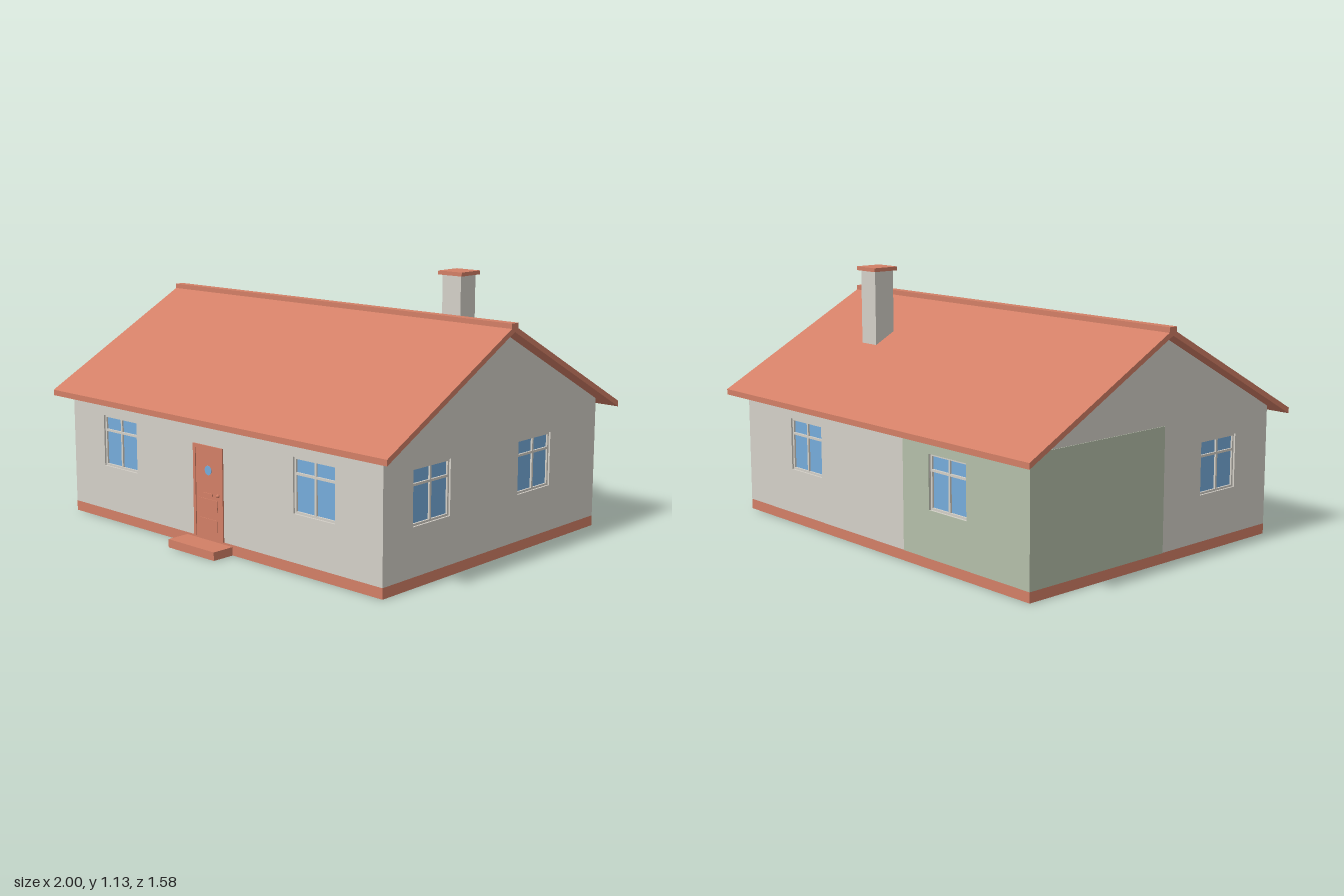
import * as THREE from 'three';

const material = (name, color) => {
  const m = new THREE.MeshStandardMaterial({ color });
  m.name = name;
  return m;
};

export function createModel() {
  const house = new THREE.Group();
  house.name = 'house';
  const plaster = material('warm grey plaster', 0xd4d0c8);
  const terracotta = material('terracotta', 0xd27f66);
  const sage = material('sage green plaster', 0xb4bfa9);
  const glass = material('blue glass', 0x76acdb);

  const add = (parent, name, geometry, mat) => {
    const mesh = new THREE.Mesh(geometry, mat);
    mesh.name = name;
    parent.add(mesh);
    return mesh;
  };
  // box given by its lower and upper bounds on each axis
  const box = (parent, name, [x0, x1], [y0, y1], [z0, z1], mat) => {
    const mesh = add(parent, name, new THREE.BoxGeometry(x1 - x0, y1 - y0, z1 - z0), mat);
    mesh.position.set((x0 + x1) / 2, (y0 + y1) / 2, (z0 + z1) / 2);
    return mesh;
  };
  const shapeOf = (points) => new THREE.Shape(points.map(([x, y]) => new THREE.Vector2(x, y)));

  // wall sheet with window openings, between local z0 and z1
  const sheet = (parent, name, outline, windows, z0, z1, mat) => {
    const shape = shapeOf(outline);
    for (const [c, w, b, t] of windows) {
      shape.holes.push(new THREE.Path([
        new THREE.Vector2(c - w / 2, b), new THREE.Vector2(c - w / 2, t),
        new THREE.Vector2(c + w / 2, t), new THREE.Vector2(c + w / 2, b),
      ]));
    }
    const geometry = new THREE.ExtrudeGeometry(shape, { depth: z1 - z0, bevelEnabled: false });
    add(parent, name, geometry, mat).position.z = z0;
  };

  // recessed pane with a rim, a mullion and a high transom
  const addWindow = (parent, [c, w, b, t], z) => {
    const win = new THREE.Group();
    win.name = 'window';
    parent.add(win);
    const l = c - w / 2, r = c + w / 2, f = 0.009, bar = 0.005;
    const depth = [z - 0.025, z - 0.008];
    box(win, 'pane', [l, r], [b, t], [z - 0.024, z - 0.016], glass);
    box(win, 'rimLeft', [l, l + f], [b, t], depth, plaster);
    box(win, 'rimRight', [r - f, r], [b, t], depth, plaster);
    box(win, 'rimBottom', [l + f, r - f], [b, b + f], depth, plaster);
    box(win, 'rimTop', [l + f, r - f], [t - f, t], depth, plaster);
    box(win, 'mullion', [c - bar, c + bar], [b + f, t - f], depth, plaster);
    box(win, 'transom', [l + f, r - f], [t - 0.073, t - 0.063], depth, plaster);
  };

  // one side of the house, modelled facing +z and then turned
  const addSide = (name, angle, dist, outline, windows) => {
    const side = new THREE.Group();
    side.name = name;
    side.rotation.y = angle;
    house.add(side);
    sheet(side, 'wall', outline, windows, dist - 0.03, dist, plaster);
    windows.forEach((w) => addWindow(side, w, dist));
    return side;
  };

  const base = 0.045, apex = 0.945;
  const eaves = (top) => [[-0.925, base], [0.925, base], [0.925, top], [-0.925, top]];
  const frontTop = 0.567, backTop = 0.572;

  // walls
  addSide('frontWall', 0, 0.68, eaves(frontTop),
    [[-0.605, 0.225, 0.245, 0.475], [0.575, 0.225, 0.245, 0.475]]);
  const backWindows = [[-0.485, 0.225, 0.245, 0.475], [0.465, 0.225, 0.245, 0.475]];
  const back = addSide('backWall', Math.PI, 0.72, eaves(backTop), backWindows);
  addSide('rightGable', Math.PI / 2, 0.93,
    [[-0.68, base], [0.72, base], [0.72, backTop], [0.02, apex], [-0.68, frontTop]],
    [[-0.395, 0.225, 0.245, 0.475], [0.272, 0.225, 0.245, 0.475]]);
  const left = addSide('leftGable', -Math.PI / 2, 0.93,
    [[-0.72, base], [0.68, base], [0.68, frontTop], [-0.02, apex], [-0.72, backTop]],
    [[0.36, 0.22, 0.245, 0.475]]);

  // green corner room cladding
  sheet(back, 'greenCladding', [[0.19, base], [0.933, base], [0.933, 0.57], [0.19, 0.57]],
    [backWindows[1]], 0.72, 0.723, sage);
  sheet(left, 'greenCladding', [[-0.723, base], [0.02, base], [0.02, 0.57], [-0.723, 0.57]],
    [], 0.93, 0.933, sage);

  // plinth and doorstep
  box(house, 'plinth', [-0.93, 0.93], [0, base], [-0.72, 0.68], terracotta);
  box(house, 'doorstep', [-0.17, 0.11], [0, 0.036], [0.67, 0.785], terracotta);

  // roof: bent slab with a ridge cap
  const roofShape = shapeOf([[-0.74, 0.535], [0.02, apex], [0.79, 0.535],
    [0.79, 0.56], [0.02, 0.97], [-0.74, 0.56]]);
  const roofGeometry = new THREE.ExtrudeGeometry(roofShape, { depth: 2, bevelEnabled: false });
  roofGeometry.translate(0, 0, -1).rotateY(Math.PI / 2);
  add(house, 'roof', roofGeometry, terracotta);
  box(house, 'ridgeCap', [-1, 1], [0.95, 0.98], [-0.042, 0], terracotta);

  // chimney
  box(house, 'chimney', [0.43, 0.53], [0.7, 1.11], [-0.37, -0.27], plaster);
  box(house, 'chimneyCap', [0.416, 0.544], [1.11, 1.127], [-0.384, -0.257], terracotta);

  // front door
  const door = new THREE.Group();
  door.name = 'frontDoor';
  house.add(door);
  const jamb = [0.675, 0.686];
  box(door, 'leaf', [-0.108, 0.048], [base, 0.428], [0.67, 0.682], terracotta);
  box(door, 'jambRight', [-0.12, -0.106], [base, 0.442], jamb, terracotta);
  box(door, 'jambLeft', [0.046, 0.06], [base, 0.442], jamb, terracotta);
  box(door, 'lintel', [-0.106, 0.046], [0.426, 0.442], jamb, terracotta);
  for (const y of [0.08, 0.165]) {
    box(door, 'panel', [-0.085, 0.025], [y, y + 0.05], [0.68, 0.685], terracotta);
  }
  box(door, 'letterSlot', [-0.058, -0.004], [0.23, 0.24], [0.68, 0.686], terracotta);
  const knob = add(door, 'knob', new THREE.SphereGeometry(0.008, 12, 8), terracotta);
  knob.position.set(0.03, 0.238, 0.685);
  const porthole = add(door, 'porthole', new THREE.CylinderGeometry(0.02, 0.02, 0.005, 24), glass);
  porthole.rotation.x = Math.PI / 2;
  porthole.position.set(-0.03, 0.337, 0.6815);

  return house;
}
